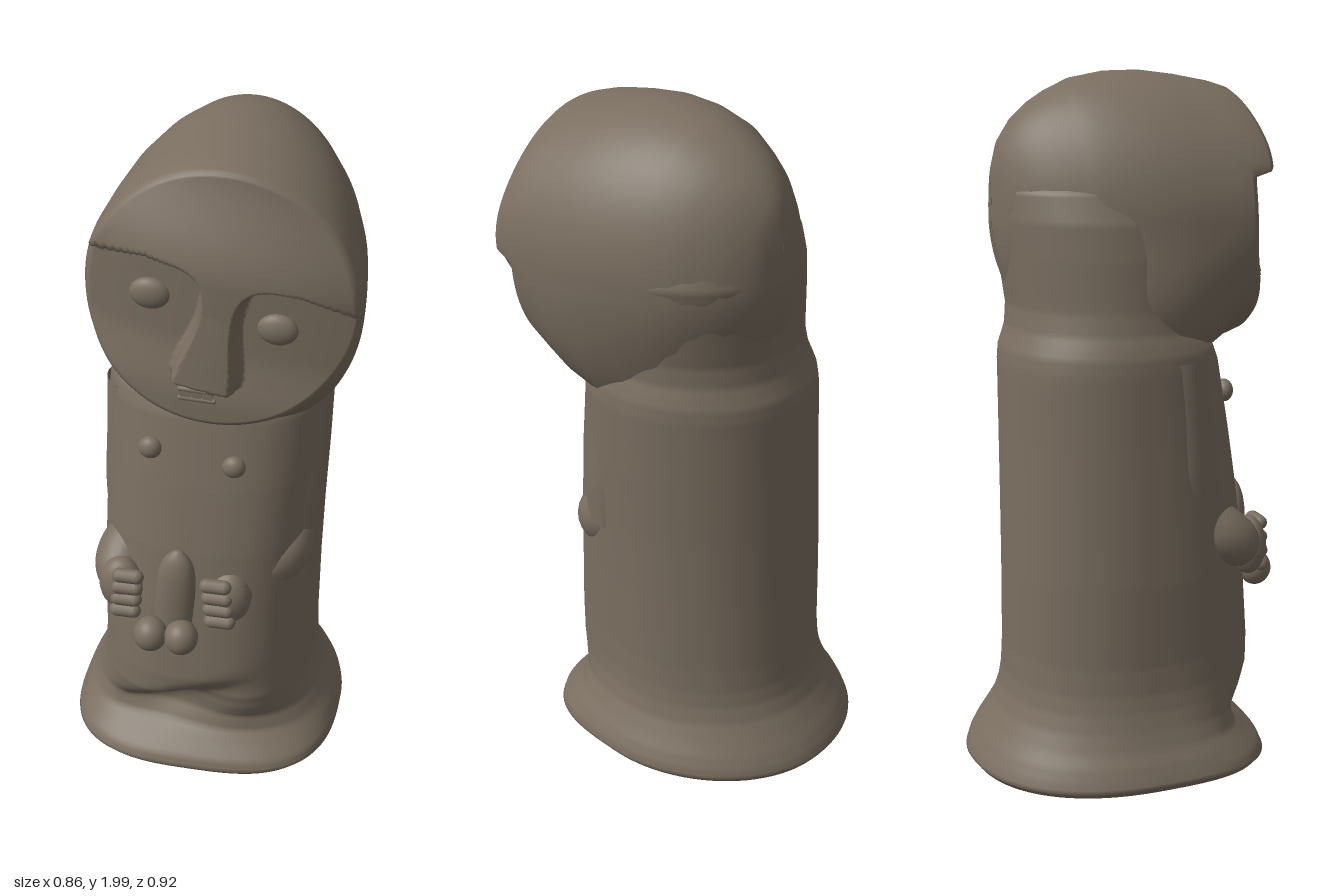
import * as THREE from 'three';

const stone = new THREE.MeshStandardMaterial({ color: 0x7a6e60, side: THREE.DoubleSide });
stone.name = 'weathered stone';

const smooth = THREE.MathUtils.smoothstep;
const spow = (v, p) => Math.sign(v) * Math.abs(v) ** p;

// Read a row from a table, interpolating on its first column
function rowAt(table, k) {
  let i = 0;
  while (i < table.length - 2 && (k - table[i + 1][0]) * Math.sign(table[1][0] - table[0][0]) > 0) i++;
  const a = table[i], b = table[i + 1], t = (k - a[0]) / (b[0] - a[0]);
  return a.map((v, n) => v + (b[n] - v) * t);
}

// Skin closed rings of equal length
function loft(rings) {
  const n = rings[0].length, idx = [];
  for (let i = 0; i < rings.length - 1; i++)
    for (let j = 0; j < n; j++) {
      const k = (j + 1) % n, a = i * n + j, b = a + n, c = i * n + k, d = c + n;
      idx.push(a, b, c, c, b, d);
    }
  const g = new THREE.BufferGeometry();
  g.setAttribute('position', new THREE.Float32BufferAttribute(rings.flat(2), 3));
  g.setIndex(idx);
  g.computeVertexNormals();
  return g;
}

function ring(n, fn) {
  return Array.from({ length: n }, (_, j) => fn((j / n) * Math.PI * 2));
}

// Body with neck: y, xMin, xMax, zFront, zBack
const BODY = [
  [0.0, -0.415, 0.385, 0.395, -0.445],
  [0.02, -0.43, 0.4, 0.41, -0.46],
  [0.05, -0.42, 0.395, 0.4, -0.45],
  [0.09, -0.405, 0.38, 0.365, -0.43],
  [0.13, -0.385, 0.36, 0.335, -0.405],
  [0.18, -0.365, 0.335, 0.335, -0.375],
  [0.23, -0.35, 0.322, 0.365, -0.357],
  [0.28, -0.34, 0.316, 0.385, -0.348],
  [0.36, -0.333, 0.313, 0.388, -0.343],
  [0.6, -0.33, 0.315, 0.37, -0.34],
  [0.8, -0.32, 0.32, 0.35, -0.338],
  [1.0, -0.31, 0.328, 0.32, -0.336],
  [1.2, -0.302, 0.333, 0.285, -0.335],
  [1.24, -0.298, 0.33, 0.27, -0.331],
  [1.27, -0.289, 0.322, 0.24, -0.32],
  [1.3, -0.278, 0.313, 0.2, -0.31],
  [1.36, -0.268, 0.313, 0.15, -0.304],
  [1.5, -0.258, 0.342, 0.1, -0.318],
  [1.6, -0.245, 0.365, 0.05, -0.33],
  [1.68, -0.215, 0.335, 0.05, -0.325],
  [1.74, -0.15, 0.27, 0.02, -0.26],
  [1.76, -0.05, 0.1, 0.02, -0.05],
];

function bodyGeometry() {
  const rings = [], rows = 176;
  for (let i = 0; i <= rows; i++) {
    const y = i / 100;
    const [, x0, x1, zf, zb] = rowAt(BODY, y);
    // squarer in front, most of all at the hem; rounder towards the back
    const front = 0.66 + 0.13 * smooth(y, 0.05, 0.3);
    const neck = smooth(y, 1.15, 1.4);
    rings.push(ring(96, (a) => {
      const back = 1 + (1 - neck) * (Math.cos(a) > 0 ? 0.07 : -0.1);
      const p = Math.sin(a) > 0 ? front : back;
      const x = (x0 + x1) / 2 + ((x1 - x0) / 2) * spow(Math.cos(a), p);
      const s = spow(Math.sin(a), p);
      let z = s > 0 ? s * zf : -s * zb;
      // slanting hollow across the front of the skirt
      if (s > 0) {
        const dx = x + 0.06, dy = y - 0.235;
        const t = dx * 0.9 + dy * 0.42, d = dy * 0.9 - dx * 0.42;
        z -= 0.07 * Math.exp(-((d / (d > 0 ? 0.045 : 0.085)) ** 2) - (t / 0.17) ** 2);
      }
      // wavy hem
      const hem = (1 - smooth(y, 0, 0.15)) * (0.014 + 0.006 * Math.cos(2 * a));
      return [x, y + hem, z];
    }));
  }
  return loft(rings);
}

// Face relief: height of the front of the head, in tilted face coordinates
const CX = 0.07, CY = 1.6, TILT = 0.2;
function faceZ(x, y) {
  const dx = x - CX, dy = y - CY, c = Math.cos(TILT), s = Math.sin(TILT);
  const u = dx * c - dy * s, v = dx * s + dy * c;
  const base = 0.355 - 0.3 * u * u + 0.025 * smooth(-v, 0.12, 0.3);
  // brow ridge flares into the nose with a rounded corner
  const halfNose = 0.05 + 0.033 * smooth(-v, 0.02, 0.21);
  const nose = Math.min(halfNose - Math.abs(u - 0.01), v + 0.215);
  const brow = v - 0.095 + 0.25 * Math.max(0, Math.abs(u) - 0.2);
  const blend = Math.max(0.09 - Math.abs(nose - brow), 0) / 0.09;
  const mask = smooth(Math.max(nose, brow) + blend * blend * 0.0225, -0.009, 0.009);
  const raised = 0.445 - 0.06 * Math.min(v, 0) - 0.6 * u * u - 0.08 * smooth(v, 0.08, 0.38);
  return base + (Math.max(raised, base) - base) * mask;
}

// Head: z, centre x, half width, top, bottom, lower squareness
const HEAD = [
  [0.37, 0.07, 0.358, 1.955, 1.245, 0.97],
  [0.3, 0.07, 0.362, 1.97, 1.225, 0.9],
  [0.2, 0.07, 0.356, 1.988, 1.16, 0.78],
  [0.1, 0.07, 0.345, 2.0, 1.12, 0.7],
  [0.0, 0.07, 0.322, 1.998, 1.12, 0.7],
  [-0.1, 0.07, 0.285, 1.98, 1.15, 0.75],
  [-0.17, 0.072, 0.246, 1.948, 1.18, 0.8],
  [-0.22, 0.07, 0.21, 1.918, 1.22, 0.87],
  [-0.27, 0.068, 0.163, 1.875, 1.28, 0.95],
  [-0.31, 0.066, 0.105, 1.82, 1.36, 1],
  [-0.33, 0.065, 0.058, 1.76, 1.45, 1],
  [-0.338, 0.065, 0.002, 1.7, 1.55, 1],
];

function headPoint(z, a) {
  const [, cx, w, top, bottom, p] = rowAt(HEAD, z);
  const c = Math.cos(a), s = Math.sin(a), q = s > 0 ? 1 : p;
  const y = CY + spow(s, q) * (s > 0 ? top - CY : CY - bottom);
  const low = 1 - smooth(y, 1.25, 1.6);
  const back = 1 - smooth(z, -0.05, 0.3);
  return [cx + w * spow(c, q) - 0.04 * low * back, y, z + 0.03 * low * smooth(-z, 0, 0.3)];
}

function headGeometry() {
  const rings = [], n = 160, caps = 64;
  for (let i = 0; i <= caps; i++) {
    const r = Math.max(i / caps, 0.002);
    rings.push(ring(n, (a) => {
      const [x, y] = headPoint(0.37, a);
      const px = CX + (x - CX) * r, py = CY + (y - CY) * r;
      return [px, py, faceZ(px, py) - 0.012 * smooth(r, 0.97, 1)];
    }));
  }
  for (const z of [0.3, 0.25, 0.2, 0.15, 0.1, 0.05, 0, -0.05, -0.1, -0.135, -0.17, -0.195, -0.22,
    -0.245, -0.27, -0.29, -0.31, -0.32, -0.33, -0.338]) rings.push(ring(n, (a) => headPoint(z, a)));
  return loft(rings);
}

export function createModel() {
  const root = new THREE.Group();
  root.name = 'stoneFigure';
  const add = (name, geo, pos = [0, 0, 0], rotZ = 0, scale = [1, 1, 1], parent = root) => {
    const m = new THREE.Mesh(geo, stone);
    m.name = name;
    m.position.set(...pos);
    m.rotation.z = rotZ;
    m.scale.set(...scale);
    parent.add(m);
  };
  const ball = new THREE.SphereGeometry(1, 24, 16);

  // Limb of round sections stacked along a path of [x, y, z, radius]
  const limb = (pts) => {
    const path = new THREE.CatmullRomCurve3(pts.map((p) => new THREE.Vector3(...p)));
    const frames = path.computeFrenetFrames(24);
    const rings = frames.tangents.map((_, i) => {
      const k = (i / 24) * (pts.length - 1), j = Math.min(Math.floor(k), pts.length - 2);
      const r = THREE.MathUtils.lerp(pts[j][3], pts[j + 1][3], k - j), c = path.getPoint(i / 24);
      return ring(24, (a) => c.clone().addScaledVector(frames.normals[i], -r * Math.cos(a))
        .addScaledVector(frames.binormals[i], -r * Math.sin(a)).toArray());
    });
    return loft(rings.reverse());
  };

  add('body', bodyGeometry());
  add('head', headGeometry());

  // Eyes and mouth
  for (const [x, y] of [[-0.11, 1.605], [0.22, 1.535]])
    add('eye', ball, [x, y, faceZ(x, y) + 0.002], -0.1, [0.053, 0.043, 0.024]);
  const mouth = [0.015, 1.335];
  const mz = faceZ(...mouth) - 0.002;
  for (const s of [-1, 1])
    add('lip', new THREE.CapsuleGeometry(0.007, 0.09, 4, 10),
      [mouth[0], mouth[1] + s * 0.013, mz], Math.PI / 2 - 0.05);
  for (let i = -1; i <= 1; i++)
    add('tooth', new THREE.BoxGeometry(0.026, 0.02, 0.01), [mouth[0] + i * 0.03, mouth[1] - i * 0.002, mz]);

  // Chest studs
  add('chestStud', ball, [-0.135, 1.1, 0.29], 0, [0.033, 0.033, 0.026]);
  add('chestStud', ball, [0.1, 1.07, 0.298], 0, [0.033, 0.033, 0.026]);

  // Arms sunk into the body sides; each hand reaches its own fingertip position
  for (const [side, tip, name] of [[1, 0.02, 'left'], [-1, -0.145, 'right']]) {
    const arm = new THREE.Group();
    arm.name = name + 'Arm';
    root.add(arm);
    const shift = side > 0 ? 0.015 : 0;
    const wrist = tip + side * 0.075;
    const part = (n, geo, pos, rot, scale) => add(n, geo, pos, rot, scale, arm);
    part('upperArm', limb([[side * 0.2 + shift, 1.22, 0.105, 0.097], [side * 0.2 + shift, 1.05, 0.112, 0.102],
      [side * 0.205 + shift, 0.9, 0.12, 0.104], [side * 0.205 + shift, 0.77, 0.125, 0.1]]));
    part('forearm', limb([[side * 0.2 + shift, 0.8, 0.12, 0.1], [side * 0.195 + shift, 0.735, 0.19, 0.095],
      [wrist + side * 0.015, 0.685, 0.265, 0.082], [wrist, 0.655, 0.32, 0.068]]));
    part('palm', ball, [wrist, 0.653, 0.335], 0, [0.065, 0.088, 0.052]);
    for (let i = 0; i < 4; i++)
      part('finger', new THREE.CapsuleGeometry(0.021, 0.05, 6, 12),
        [tip + side * (0.044 + 0.004 * i), 0.712 - i * 0.041, 0.378], Math.PI / 2);
  }

  // Central carving held between the hands
  const profile = [[0.001, -0.15], [0.05, -0.13], [0.058, -0.05], [0.055, 0.06], [0.04, 0.115], [0.015, 0.145], [0.001, 0.15]]
    .map(([x, y]) => new THREE.Vector2(x, y));
  const curve = new THREE.SplineCurve(profile).getPoints(24);
  add('centralColumn', new THREE.LatheGeometry(curve, 24), [-0.055, 0.66, 0.36], -0.06, [1, 1, 0.68]);
  for (const x of [-0.12, -0.03])
    add('columnBase', ball, [x, 0.54, 0.41], 0, [0.049, 0.053, 0.049]);

  return root;
}
